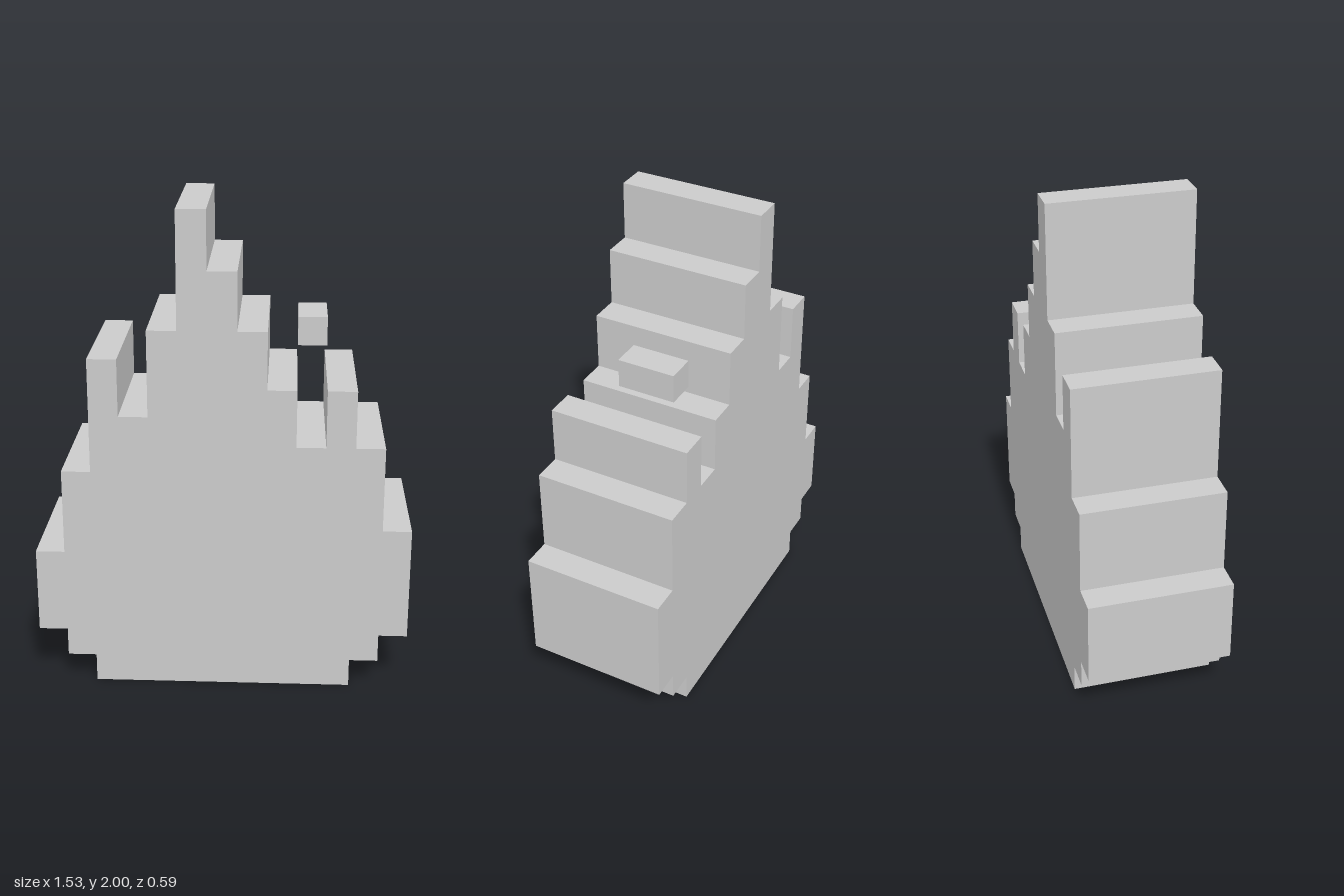
import * as THREE from 'three';

const U = 2 / 17; // one block
const DEPTH = 5;

// Bottom and top of each flame column, in blocks, from right (-x) to left (+x)
const COLUMNS = [
  [2, 5], [1, 8], [0, 12], [0, 10], [0, 13], [0, 17], [0, 15],
  [0, 13], [0, 11], [0, 9], [0, 11], [1, 9], [2, 6],
];
const HALF = COLUMNS.length / 2;

// Stepped outline: along the undersides, then back over the tops
function flameShape() {
  const points = [];
  const add = (x, y) => {
    const last = points[points.length - 1];
    const before = points[points.length - 2];
    // Merge level runs into one edge
    if (last && before && last.y === y * U && before.y === y * U) points.pop();
    points.push(new THREE.Vector2((x - HALF) * U, y * U));
  };
  COLUMNS.forEach(([bottom], i) => { add(i, bottom); add(i + 1, bottom); });
  for (let i = COLUMNS.length - 1; i >= 0; i--) {
    add(i + 1, COLUMNS[i][1]);
    add(i, COLUMNS[i][1]);
  }
  return new THREE.Shape(points);
}

export function createModel() {
  const group = new THREE.Group();
  group.name = 'blockFlame';
  const material = new THREE.MeshStandardMaterial({ color: 0xcccccc, flatShading: true });

  // Flame body
  const bodyGeometry = new THREE.ExtrudeGeometry(flameShape(), { depth: DEPTH * U, bevelEnabled: false });
  bodyGeometry.translate(0, 0, -DEPTH * U / 2);
  const body = new THREE.Mesh(bodyGeometry, material);
  body.name = 'flameBody';
  group.add(body);

  // Floating spark, two blocks deep
  const spark = new THREE.Mesh(new THREE.BoxGeometry(U, U, 2 * U), material);
  spark.name = 'spark';
  spark.position.set(3 * U, 12.5 * U, -0.5 * U);
  group.add(spark);

  return group;
}
